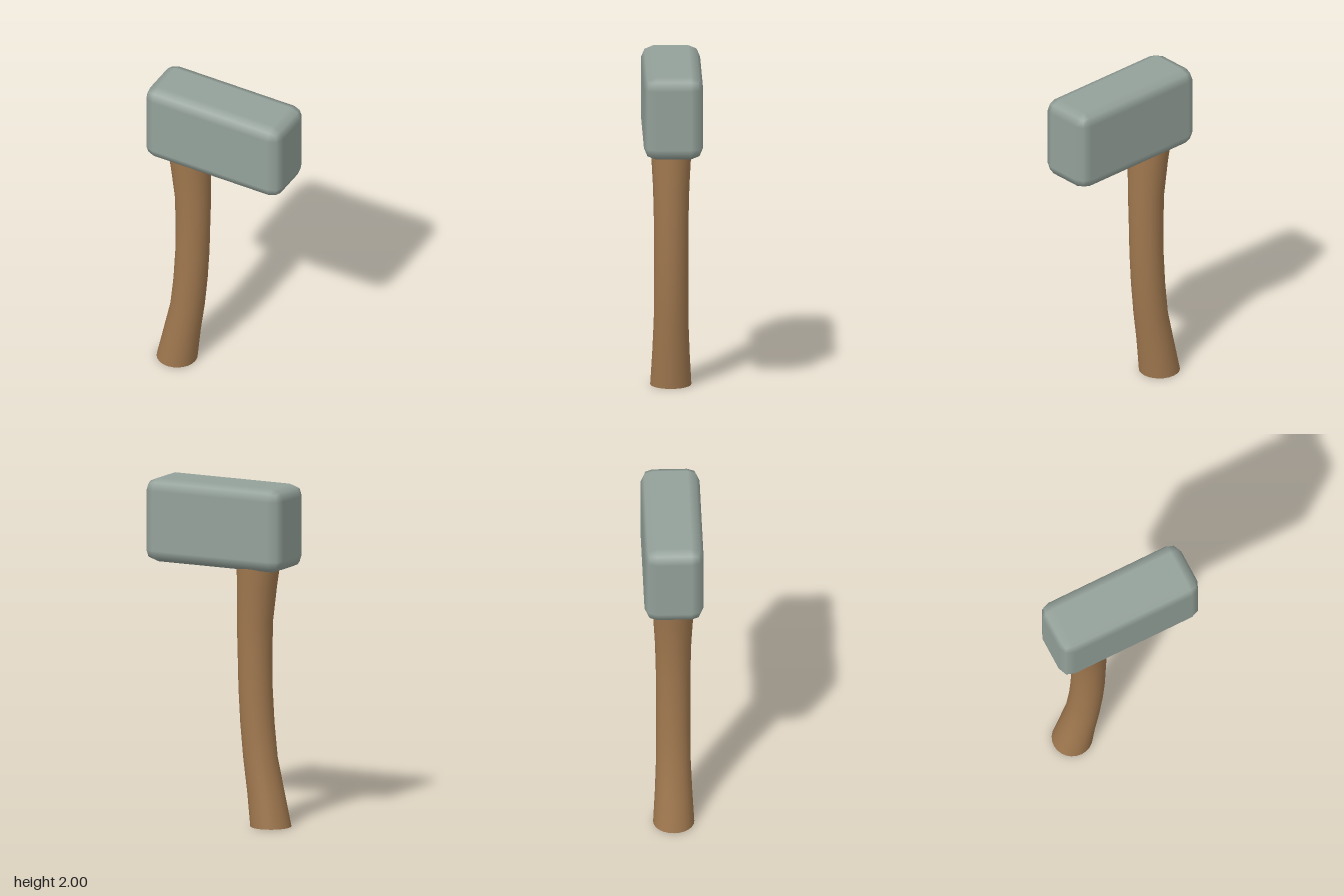
import * as THREE from 'three';
import { mergeVertices } from 'three/addons/utils/BufferGeometryUtils.js';
import { RoundedBoxGeometry } from 'three/addons/geometries/RoundedBoxGeometry.js';

const stone = new THREE.MeshStandardMaterial({ name: 'greyStone', color: 0x94a19a });
const wood = new THREE.MeshStandardMaterial({ name: 'brownWood', color: 0xa0784f });

function addMesh(group, name, geometry, material) {
  const mesh = new THREE.Mesh(geometry, material);
  mesh.name = name;
  group.add(mesh);
  return mesh;
}

// Handle stations: [height, centre x, radius]
const stations = [
  [0, -0.31, 0.119], [0.2, -0.277, 0.108], [0.4, -0.241, 0.1], [0.6, -0.221, 0.099],
  [0.8, -0.209, 0.099], [1, -0.205, 0.1], [1.2, -0.205, 0.105], [1.4, -0.218, 0.116],
  [1.56, -0.23, 0.128],
];

// Curved shaft: horizontal rings shifted and scaled along the stations
function shaftGeometry() {
  const geometry = new THREE.CylinderGeometry(1, 1, 1, 24, stations.length - 1, true);
  const pos = geometry.attributes.position;
  for (let i = 0; i < pos.count; i++) {
    const row = Math.round((pos.getY(i) + 0.5) * (stations.length - 1));
    const [y, x, r] = stations[row];
    pos.setXYZ(i, x + pos.getX(i) * r, y, pos.getZ(i) * r);
  }
  geometry.deleteAttribute('uv');
  geometry.deleteAttribute('normal');
  const merged = mergeVertices(geometry, 1e-4);
  merged.computeVertexNormals();
  return merged;
}

export function createModel() {
  const model = new THREE.Group();
  model.name = 'mallet';

  // Bevelled block head
  addMesh(model, 'head', new RoundedBoxGeometry(0.9, 0.49, 0.342, 1, 0.07), stone).position.y = 1.755;

  // Handle with a flat butt end
  const handle = new THREE.Group();
  handle.name = 'handle';
  addMesh(handle, 'shaft', shaftGeometry(), wood);
  const butt = addMesh(handle, 'buttEnd', new THREE.CircleGeometry(stations[0][2], 24), wood);
  butt.rotation.x = Math.PI / 2;
  butt.position.x = stations[0][1];
  model.add(handle);

  return model;
}
